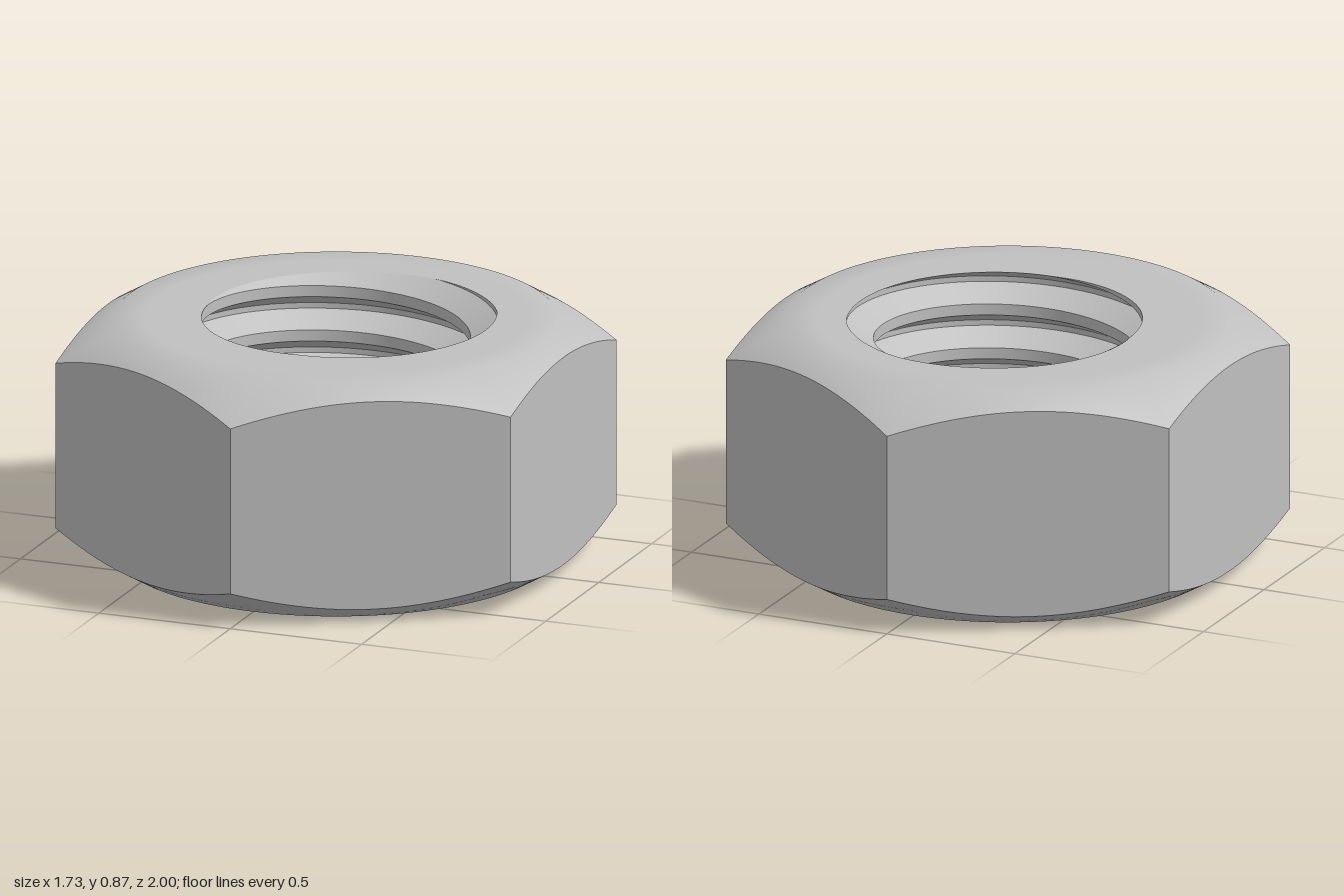
import * as THREE from 'three';
import { toCreasedNormals } from 'three/addons/utils/BufferGeometryUtils.js';

const HEIGHT = 0.867;
const FLAT = Math.sqrt(3) / 2;   // centre to flat side; corners lie at radius 1
const CHAMFER_R = 0.78;          // where the conical chamfer meets the end faces
const CHAMFER_SLOPE = 0.585;
const MINOR = 0.475, MAJOR = 0.572, PITCH = 0.164;
const START = THREE.MathUtils.degToRad(51); // angle where the groove leaves the top
const SEGMENTS = 180;

// Height of the groove's centre line at an angle (right-handed helix)
const grooveHeight = (a) => HEIGHT + PITCH * (a - START) / (2 * Math.PI);

// Radius of the threaded bore: flat crest, sloped flanks, narrow flat root
function boreRadius(a, y) {
  const turns = (y - grooveHeight(a)) / PITCH;
  const d = Math.abs(turns - Math.round(turns));
  const t = THREE.MathUtils.clamp((0.375 - d) / 0.3125, 0, 1);
  return MINOR + (MAJOR - MINOR) * t;
}

// Distance from the axis to the hexagon's side
function hexRadius(a) {
  const sector = Math.PI / 3;
  return FLAT / Math.cos(a - Math.round(a / sector) * sector);
}

// Sweep a profile of [radius, height] points, which may vary with the angle
function sweep(profile) {
  const positions = [], index = [];
  let count = 0;
  for (let i = 0; i <= SEGMENTS; i++) {
    const a = (i / SEGMENTS) * Math.PI * 2;
    const points = profile(a);
    count = points.length;
    for (const [r, y] of points) positions.push(r * Math.cos(a), y, -r * Math.sin(a));
  }
  for (let i = 0; i < SEGMENTS; i++) {
    for (let j = 0; j < count - 1; j++) {
      const p = i * count + j, q = p + count;
      index.push(p, p + 1, q, p + 1, q + 1, q);
    }
  }
  const geometry = new THREE.BufferGeometry();
  geometry.setAttribute('position', new THREE.Float32BufferAttribute(positions, 3));
  geometry.setIndex(index);
  return toCreasedNormals(geometry, 0.6);
}

// Top face, chamfer, hexagonal side, lower chamfer, bottom face
function bodyProfile(a) {
  const hex = hexRadius(a);
  const drop = (hex - CHAMFER_R) * CHAMFER_SLOPE;
  return [
    [boreRadius(a, HEIGHT), HEIGHT], [0.68, HEIGHT], [CHAMFER_R, HEIGHT],
    [hex, HEIGHT - drop], [hex, drop],
    [CHAMFER_R, 0], [0.68, 0], [boreRadius(a, 0), 0],
  ];
}

// Thread corners following the helix, clipped at both end faces
function threadProfile(a) {
  const points = [];
  for (let turn = -7; turn <= 1; turn++) {
    for (const offset of [-0.375, -0.0625, 0.0625, 0.375]) {
      const y = THREE.MathUtils.clamp(grooveHeight(a) + (turn + offset) * PITCH, 0, HEIGHT);
      points.push([boreRadius(a, y), y]);
    }
  }
  return points;
}

export function createModel() {
  const steel = new THREE.MeshStandardMaterial({ color: 0xc0c0c0 });
  steel.name = 'steel grey';

  const group = new THREE.Group();
  group.name = 'hexNut';
  for (const [name, profile] of [['hexBody', bodyProfile], ['threadedBore', threadProfile]]) {
    const mesh = new THREE.Mesh(sweep(profile), steel);
    mesh.name = name;
    group.add(mesh);
  }
  return group;
}
